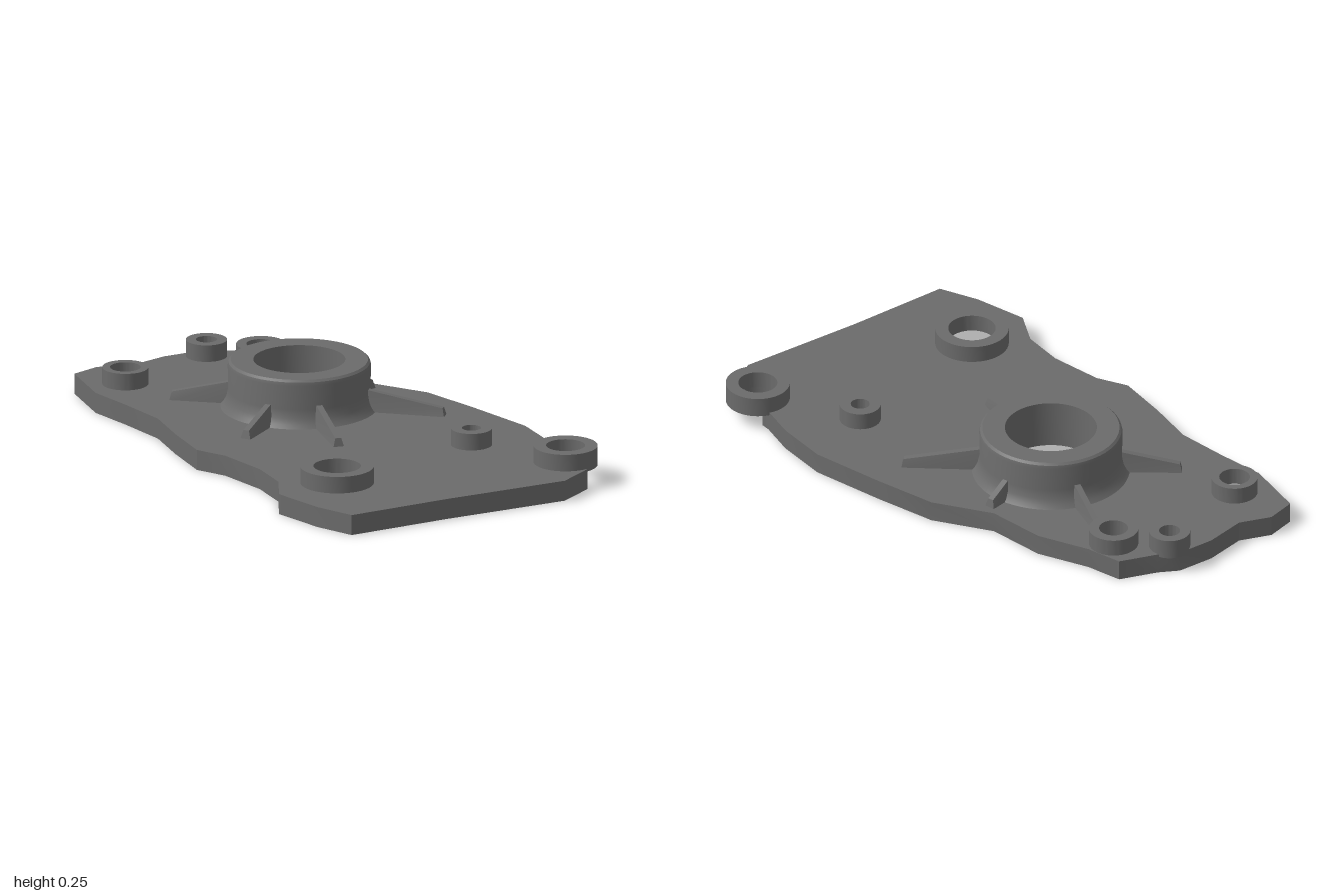
import * as THREE from 'three';
import { toCreasedNormals } from 'three/addons/utils/BufferGeometryUtils.js';

const PLATE_TOP = 0.075;
const HUB = { x: -0.023, z: -0.245, hole: 0.165 };

// x, z, outer radius, hole radius, underside height
const BOSSES = [
  [-0.437, -0.78, 0.083, 0.055, PLATE_TOP],
  [-0.023, -0.922, 0.074, 0.038, 0.065],
  [0.122, -0.782, 0.089, 0.052, 0.065],
  [-0.35, 0.61, 0.132, 0.085, PLATE_TOP],
  [0.29, 0.455, 0.074, 0.034, PLATE_TOP],
  [0.483, 0.8, 0.115, 0.07, 0.065],
];

// outer ends of the ribs, as x, z
const RIB_TIPS = [
  [0.105, -0.665], [-0.385, -0.547], [0.315, -0.312],
  [0.375, 0.115], [-0.138, 0.247], [-0.385, 0.002],
];

export function createModel() {
  const model = new THREE.Group();
  const metal = new THREE.MeshStandardMaterial({ color: 0x6b6b6b });
  metal.name = 'dark grey metal';

  const add = (geometry, name, x = 0, z = 0) => {
    const mesh = new THREE.Mesh(toCreasedNormals(geometry, 0.5), metal);
    mesh.name = name;
    mesh.position.set(x, 0, z);
    model.add(mesh);
    return mesh;
  };
  const lathe = (points) =>
    new THREE.LatheGeometry(points.map(([r, y]) => new THREE.Vector2(r, y)), 64);

  // Irregular base plate, outlined as x, z
  const outline = [
    [-0.6, 0.63], [-0.53, 0.5], [-0.515, 0.34], [-0.545, 0.14], [-0.6, 0.03],
    [-0.575, 0.17 - 0.34], [-0.54, -0.36], [-0.56, -0.56], [-0.585, -0.735],
    [-0.54, -0.97], [-0.43, -1], [-0.315, -0.957], [-0.16, -0.99], [-0.02, -0.985],
    [0.05, -0.945], [0.188, -0.895], [0.22, -0.76], [0.303, -0.575], [0.328, -0.355],
    [0.455, -0.155], [0.51, 0.08], [0.565, 0.36], [0.55, 0.56], [0.515, 0.7],
  ];
  const shape = new THREE.Shape();
  outline.forEach(([x, z], i) => (i ? shape.lineTo(x, -z) : shape.moveTo(x, -z)));
  // Notch where the corner boss hole breaks through the edge
  const [bx, bz, , br] = BOSSES[5];
  for (let i = 0; i <= 24; i++) {
    const a = 1.12 + (i / 24) * (2 * Math.PI - 2.24);
    shape.lineTo(bx + br * Math.cos(a), -bz + br * Math.sin(a));
  }
  [[0.508, 0.915], [0.37, 0.995], [-0.1, 0.975], [-0.495, 0.973], [-0.555, 0.83]]
    .forEach(([x, z]) => shape.lineTo(x, -z));
  shape.closePath();

  // Through holes in the plate
  const holes = BOSSES.slice(0, 5).map(([x, z, , r]) => [x, z, r]);
  holes.push([HUB.x, HUB.z, HUB.hole]);
  for (const [x, z, r] of holes) {
    shape.holes.push(new THREE.Path().absarc(x, -z, r, 0, Math.PI * 2, true));
  }
  const plate = new THREE.ExtrudeGeometry(shape, {
    depth: PLATE_TOP, bevelEnabled: false, curveSegments: 32,
  });
  plate.rotateX(-Math.PI / 2);
  add(plate, 'basePlate');

  // Ring bosses around the bolt holes
  for (const [x, z, r, hole, y] of BOSSES) {
    add(lathe([[hole, y], [r, y], [r, 0.137], [hole, 0.137], [hole, y]]), 'boltBoss', x, z);
  }

  // Central hub with flared foot and rounded rim
  add(lathe([
    [HUB.hole, PLATE_TOP], [0.283, PLATE_TOP], [0.272, 0.088], [0.262, 0.108],
    [0.255, 0.14], [0.257, 0.23], [0.254, 0.242], [0.246, 0.25],
    [HUB.hole, 0.25], [HUB.hole, PLATE_TOP],
  ]), 'hub', HUB.x, HUB.z);

  // Sloping ribs with drafted sides, running out from the hub
  for (const [tx, tz] of RIB_TIPS) {
    const dx = tx - HUB.x, dz = tz - HUB.z;
    const length = Math.hypot(dx, dz);
    const geometry = new THREE.BoxGeometry(1, 1, 1);
    const p = geometry.attributes.position;
    for (let i = 0; i < p.count; i++) {
      const outer = p.getX(i) > 0, top = p.getY(i) > 0;
      const x = outer ? length - (top ? 0.008 : 0) : 0.235;
      const y = top ? (outer ? 0.105 : 0.158) : 0.07;
      p.setXYZ(i, x, y, Math.sign(p.getZ(i)) * (top ? 0.011 : 0.021));
    }
    geometry.computeVertexNormals();
    add(geometry, 'hubRib', HUB.x, HUB.z).rotation.y = Math.atan2(-dz, dx);
  }

  return model;
}
